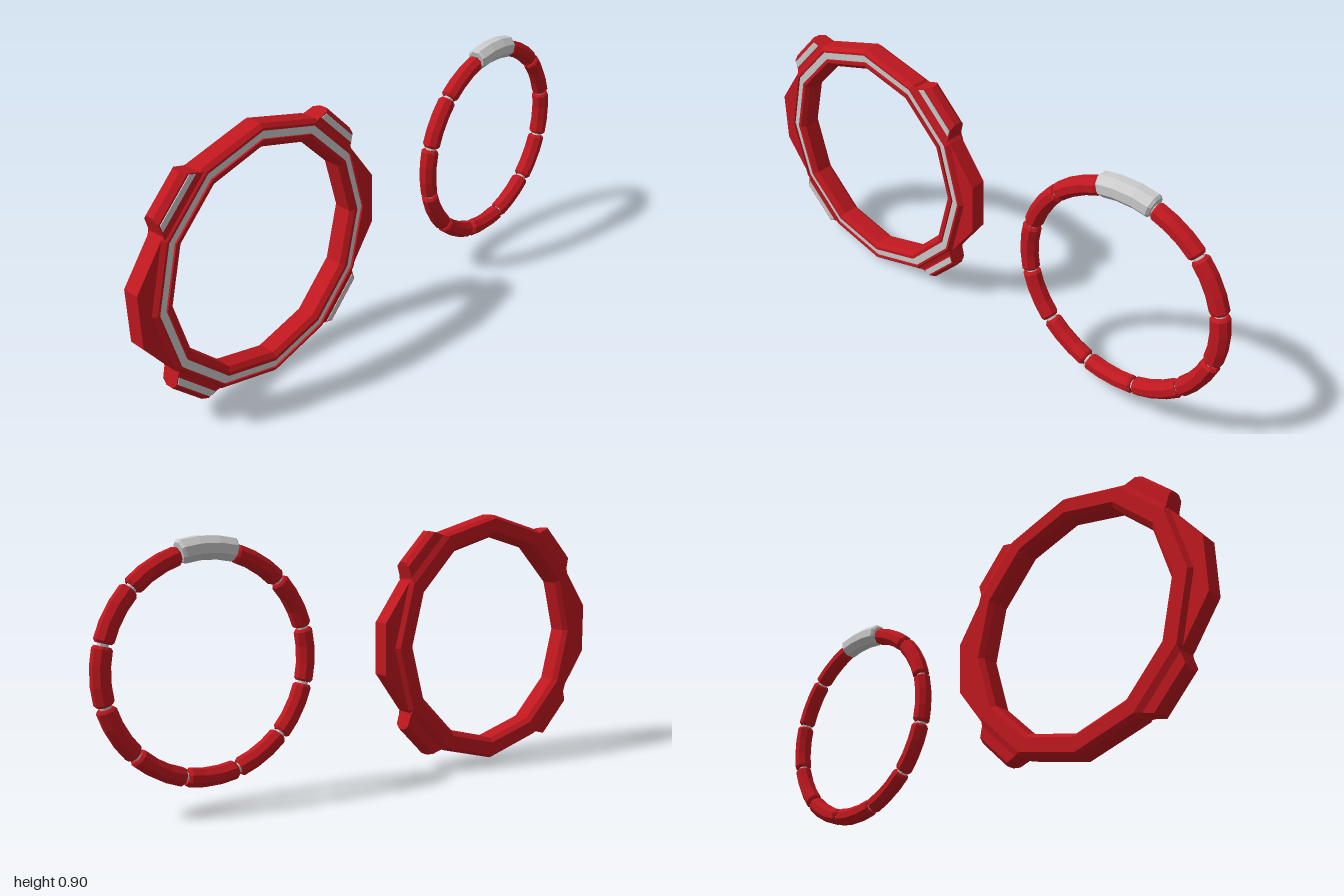
import * as THREE from 'three';

const red = new THREE.MeshStandardMaterial({ color: 0xc0181f, flatShading: true });
const grey = new THREE.MeshStandardMaterial({ color: 0xcccccc, flatShading: true });
const deg = Math.PI / 180;

// Skin a row of equal-length cross-sections; each runs counter-clockwise seen against the direction of travel.
function loft(sections, closed = false) {
  const n = sections[0].length, m = sections.length, pos = [], index = [];
  sections.forEach(s => s.forEach(p => pos.push(...p)));
  for (let i = 0; i < (closed ? m : m - 1); i++) {
    for (let j = 0; j < n; j++) {
      const k = (j + 1) % n, a = i * n, b = ((i + 1) % m) * n;
      index.push(a + j, a + k, b + k, a + j, b + k, b + j);
    }
  }
  if (!closed) {
    const e = (m - 1) * n;
    for (let j = 1; j < n - 1; j++) index.push(0, j + 1, j, e, e + j, e + j + 1);
  }
  let geo = new THREE.BufferGeometry();
  geo.setAttribute('position', new THREE.Float32BufferAttribute(pos, 3));
  geo.setIndex(index);
  geo = geo.toNonIndexed();
  geo.computeVertexNormals();
  return geo;
}

// Place an (x, radius) profile at an angle around the x axis, measured from the top.
const around = (profile, t) => profile.map(([x, r]) => [x, r * Math.cos(t), r * Math.sin(t)]);

function add(parent, name, geo, mat, turn = 0) {
  const mesh = new THREE.Mesh(geo, mat);
  mesh.name = name;
  mesh.rotation.x = turn;
  parent.add(mesh);
  return mesh;
}

const dodecagon = profile =>
  loft(Array.from({ length: 12 }, (_, i) => around(profile, i * 30 * deg)), true);

// Eight-sided bead that follows the ring, with tapered ends
function bead(radius, size, half, tip) {
  const steps = [[-half, tip], [-half + 1.3, 1], [-half / 3, 1], [half / 3, 1], [half - 1.3, 1], [half, tip]];
  return loft(steps.map(([a, s]) => {
    const profile = [];
    for (let j = 0; j < 8; j++) {
      const q = (j + 0.5) * 45 * deg, R = size * s / Math.cos(22.5 * deg);
      profile.push([R * Math.cos(q), radius + R * Math.sin(q)]);
    }
    return around(profile, a * deg);
  }));
}

function largeBangle() {
  const g = new THREE.Group();
  g.name = 'largeBangle';
  g.position.set(0, 0.45, 0.51);

  // Twelve-sided band with a groove in its +x face
  add(g, 'band', dodecagon([
    [-0.055, 0.375], [0.003, 0.375], [0.016, 0.39], [0.016, 0.402], [0.007, 0.402], [0.007, 0.43],
    [0.016, 0.43], [0.016, 0.438], [0.003, 0.45], [-0.055, 0.45], [-0.07, 0.438], [-0.07, 0.39],
  ]), red);
  add(g, 'inlay', dodecagon([[0, 0.402], [0.009, 0.402], [0.009, 0.43], [0, 0.43]]), grey);

  // Raised blocks on the four diagonals, each with its own inlay
  const levels = [
    [0.422, -0.07, 0.012, 0.113], [0.442, -0.06, 0.006, 0.1],
    [0.476, -0.057, 0.005, 0.082], [0.489, -0.04, -0.012, 0.074],
  ];
  const block = loft(levels.map(([y, x0, x1, h]) => [[x0, y, -h], [x0, y, h], [x1, y, h], [x1, y, -h]]));
  const strip = loft([[0.449, 0.092], [0.47, 0.081]].map(([y, h]) =>
    [[0, y, -h], [0, y, h], [0.008, y, h], [0.008, y, -h]]));
  for (let i = 0; i < 4; i++) {
    const t = (45 + 90 * i) * deg;
    add(g, 'cornerBlock', block, red, t);
    add(g, 'cornerInlay', strip, grey, t);
  }

  // Flat-topped wings at front and back
  const wing = loft([-0.055, 0.003].map(x =>
    [[x, -0.225, 0.39], [x, 0.225, 0.39], [x, 0.09, 0.49], [x, -0.09, 0.49]]));
  add(g, 'frontWing', wing, red);
  add(g, 'backWing', wing, red, Math.PI);
  return g;
}

function beadBracelet() {
  const g = new THREE.Group();
  g.name = 'beadBracelet';
  g.position.set(0.028, 0.45, -0.61);

  // Clasp on top, eleven beads below
  add(g, 'clasp', bead(0.365, 0.037, 15, 0.82), grey);
  const beadGeo = bead(0.357, 0.029, 14.3, 0.8);
  for (let i = 1; i < 12; i++) add(g, 'bead', beadGeo, red, i * 30 * deg);

  // Pins between the beads
  const pin = new THREE.CylinderGeometry(0.018, 0.018, 0.02, 8);
  for (let i = 0; i < 12; i++) {
    const t = (15 + 30 * i) * deg;
    const mesh = add(g, 'pin', pin, grey, t + Math.PI / 2);
    mesh.position.set(0, 0.357 * Math.cos(t), 0.357 * Math.sin(t));
  }
  return g;
}

export function createModel() {
  const model = new THREE.Group();
  model.name = 'bracelets';
  model.add(largeBangle(), beadBracelet());
  return model;
}
